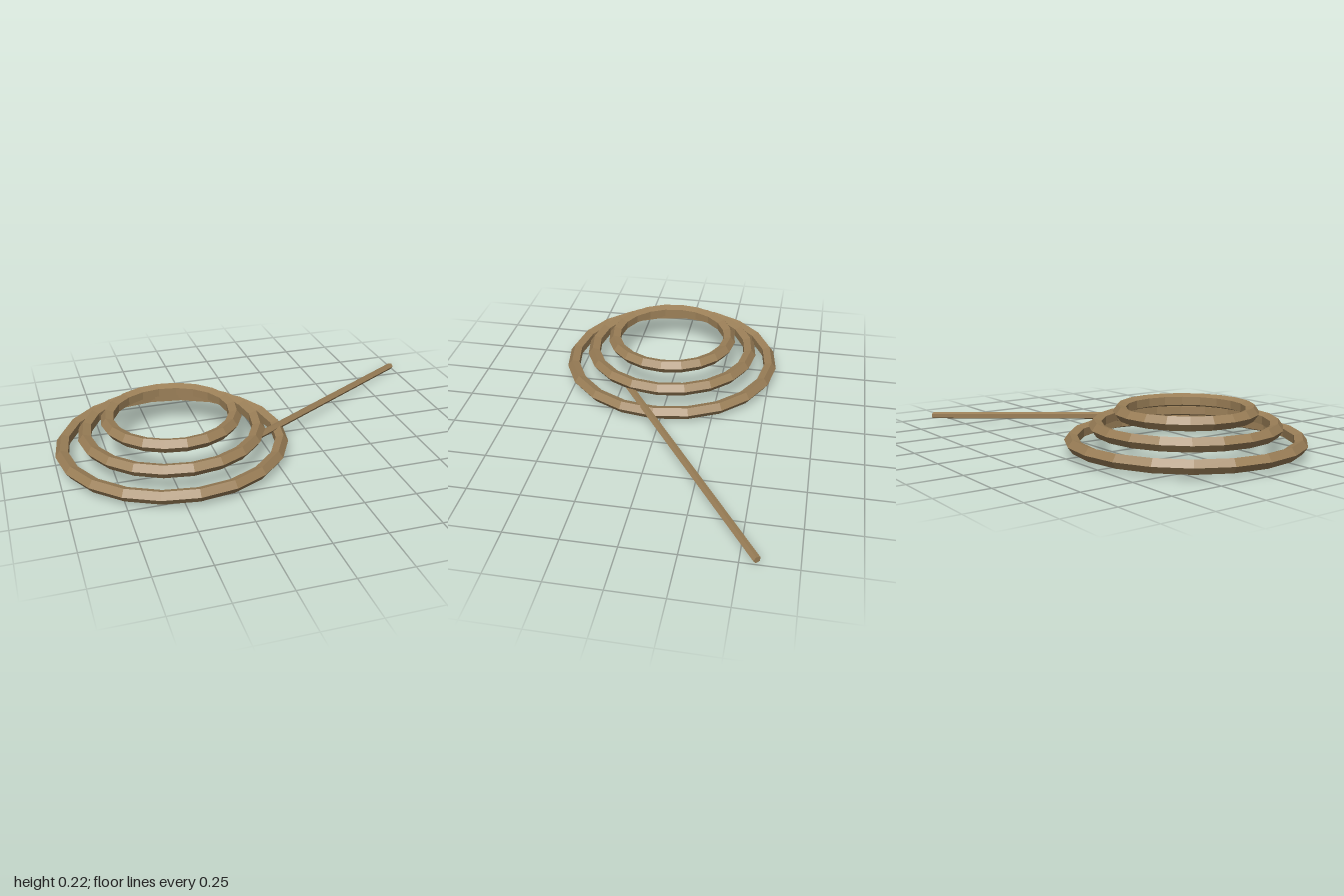
import * as THREE from 'three';

const rope = new THREE.MeshStandardMaterial({ color: 0x9c8058, flatShading: true });
rope.name = 'rope tan';

export function createModel() {
  const group = new THREE.Group();
  group.name = 'ropeCoil';

  // Three stacked loops, shrinking upwards, each with a five-sided section
  const loops = [
    ['bottomLoop', 0.524, 0.057],
    ['middleLoop', 0.4125, 0.1235],
    ['topLoop', 0.301, 0.19],
  ];
  for (const [name, radius, y] of loops) {
    const geometry = new THREE.TorusGeometry(radius, 0.0335, 5, 20);
    geometry.rotateX(Math.PI / 2);
    const loop = new THREE.Mesh(geometry, rope);
    loop.name = name;
    loop.position.set(-0.442, y, 0.027);
    group.add(loop);
  }

  // Loose end, running from inside the middle loop down to the ground
  const start = new THREE.Vector3(-0.08, 0.0935, 0.19);
  const end = new THREE.Vector3(0.99, 0.0175, -0.573);
  const along = end.clone().sub(start);
  const tail = new THREE.Mesh(new THREE.CylinderGeometry(0.018, 0.018, along.length(), 5), rope);
  tail.name = 'looseEnd';
  along.normalize();
  const side = new THREE.Vector3(-along.z, 0, along.x).normalize();
  const across = along.clone().cross(side);
  tail.quaternion.setFromRotationMatrix(new THREE.Matrix4().makeBasis(across, along, side));
  tail.position.copy(start).add(end).multiplyScalar(0.5);
  group.add(tail);

  return group;
}
